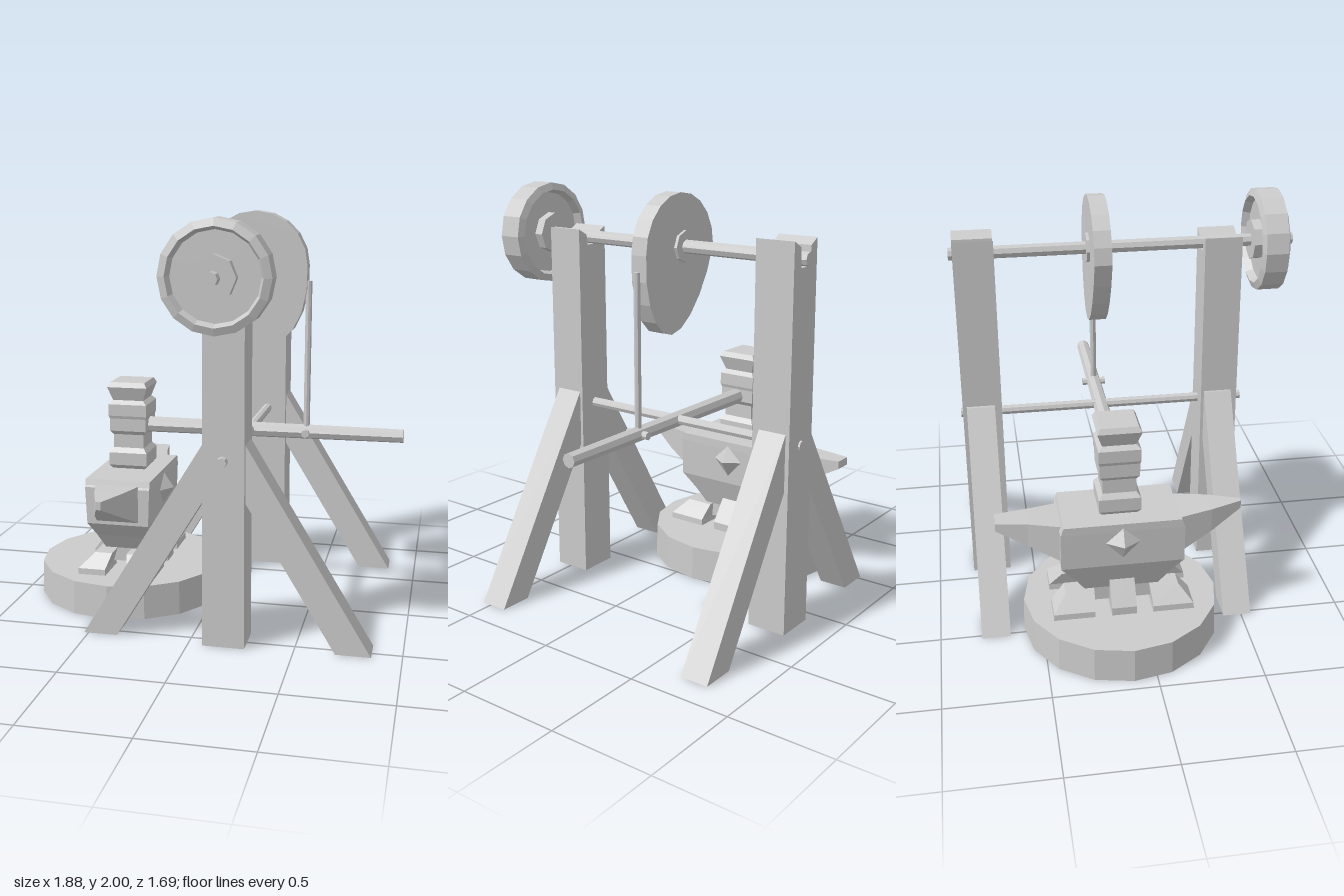
import * as THREE from 'three';

const material = new THREE.MeshStandardMaterial({ color: 0xcccccc, flatShading: true, side: THREE.DoubleSide });

// Rectangular loft along y; each section is [y, halfX, halfZ, offsetX, offsetZ].
function loft(sections) {
  const corners = [[1, 1], [1, -1], [-1, -1], [-1, 1]];
  const rings = sections.map(([y, hx, hz, ox = 0, oz = 0]) =>
    corners.map(([sx, sz]) => [ox + sx * hx, y, oz + sz * hz]));
  const pos = [];
  const quad = (a, b, c, d) => pos.push(...a, ...b, ...c, ...a, ...c, ...d);
  for (let i = 0; i + 1 < rings.length; i++) {
    for (let j = 0; j < 4; j++) {
      const k = (j + 1) % 4;
      quad(rings[i][j], rings[i][k], rings[i + 1][k], rings[i + 1][j]);
    }
  }
  const [b, t] = [rings[0], rings[rings.length - 1]];
  quad(b[3], b[2], b[1], b[0]);
  quad(t[0], t[1], t[2], t[3]);
  const geo = new THREE.BufferGeometry();
  geo.setAttribute('position', new THREE.Float32BufferAttribute(pos, 3));
  geo.computeVertexNormals();
  return geo;
}

// Outline in the xy plane, extruded from z0 to z1.
function plate(points, z0, z1) {
  const shape = new THREE.Shape(points.map(([x, y]) => new THREE.Vector2(x, y)));
  return new THREE.ExtrudeGeometry(shape, { depth: z1 - z0, bevelEnabled: false }).translate(0, 0, z0);
}

// Rod lying along z.
const rodZ = (r, z0, z1, sides) =>
  new THREE.CylinderGeometry(r, r, z1 - z0, sides).rotateX(Math.PI / 2).translate(0, 0, (z0 + z1) / 2);

export function createModel() {
  const model = new THREE.Group();
  const add = (name, geo, x = 0, y = 0, z = 0, parent = model) => {
    const mesh = new THREE.Mesh(geo, material);
    mesh.name = name;
    mesh.position.set(x, y, z);
    parent.add(mesh);
    return mesh;
  };
  const AX = 0.168, CX = -0.46, CZ = -0.115;

  // Two trestles: a notched post with a pair of splayed legs
  const trestles = [
    { name: 'frontTrestle', post: [0.395, 0.58], leg: [0.41, 0.55], top: 1.79 },
    { name: 'rearTrestle', post: [-0.82, -0.625], leg: [-0.8, -0.66], top: 1.83 },
  ];
  for (const { name, post, leg, top } of trestles) {
    const trestle = new THREE.Group();
    trestle.name = name;
    model.add(trestle);
    add('post', plate([[0.07, 0], [0.27, 0], [0.265, top], [0.21, top - 0.03], [0.205, 1.71],
      [0.13, 1.71], [0.125, top - 0.03], [0.075, top]], ...post), 0, 0, 0, trestle);
    for (const s of [-1, 1]) {
      add('leg', plate([[s * 0.05, 1.03], [s * 0.1, 0.97], [s * 0.69, 0],
        [s * 0.525, 0], [s * 0.05, 0.78]], ...leg), AX, 0, 0, trestle);
    }
  }

  // Drive shaft and lever pivot
  add('driveShaft', rodZ(0.032, -0.84, 0.85, 8), AX, 1.745);
  add('leverPivot', rodZ(0.024, -0.83, 0.62, 8), AX, 0.9);

  // Drive wheel: rimmed disc with a faceted hub
  const wheel = new THREE.Group();
  wheel.name = 'driveWheel';
  wheel.position.set(AX, 1.747, 0.715);
  model.add(wheel);
  const rim = [[0.2, -0.03], [0.215, -0.068], [0.25, -0.055], [0.25, 0.055], [0.215, 0.068], [0.2, 0.03]];
  add('rim', new THREE.LatheGeometry(rim.map(p => new THREE.Vector2(...p)), 16).rotateX(Math.PI / 2), 0, 0, 0, wheel);
  add('web', rodZ(0.21, -0.03, 0.03, 16), 0, 0, 0, wheel);
  add('hub', rodZ(0.1, -0.075, 0.075, 8), 0, 0, 0, wheel);

  // Egg-shaped cam, stretched towards the lower right
  const outline = [];
  for (let i = 0; i < 20; i++) {
    const a = i / 20 * Math.PI * 2;
    const lean = Math.max(0, -Math.sin(a));
    outline.push([0.19 + 0.26 * Math.cos(a) * (1 - 0.15 * lean) + 0.07 * lean,
      1.73 + (a > Math.PI ? 0.39 : 0.265) * Math.sin(a)]);
  }
  add('cam', plate(outline, -0.165, -0.08));
  for (const z of [-0.172, -0.073]) add('camCollar', rodZ(0.075, -0.008, 0.008, 8), AX, 1.745, z);

  // Connecting rod and hammer lever
  add('connectingRod', new THREE.CylinderGeometry(0.016, 0.016, 0.75, 8), 0.455, 1.28, CZ);
  add('lever', new THREE.CylinderGeometry(0.034, 0.042, 1.48, 8).rotateZ(-Math.PI / 2), 0.2, 0.895, CZ);
  add('leverPin', rodZ(0.02, -0.06, 0.06, 8), 0.455, 0.895, CZ);

  // Hammer head: square block with collars
  add('hammer', loft([[0.67, 0.085, 0.085], [0.69, 0.1, 0.1], [0.755, 0.1, 0.1], [0.78, 0.08, 0.08],
    [0.85, 0.08, 0.08], [0.87, 0.095, 0.095], [0.935, 0.095, 0.095], [0.95, 0.1, 0.1], [1.01, 0.1, 0.1],
    [1.03, 0.08, 0.08], [1.1, 0.104, 0.104], [1.125, 0.09, 0.09]]), CX, 0, CZ - 0.005);

  // Anvil
  const anvil = new THREE.Group();
  anvil.name = 'anvil';
  anvil.position.set(CX, 0, CZ);
  model.add(anvil);
  add('body', loft([[0.2, 0.1, 0.18], [0.27, 0.1, 0.18], [0.35, 0.13, 0.23], [0.43, 0.16, 0.295],
    [0.62, 0.168, 0.295], [0.63, 0.168, 0.29], [0.66, 0.168, 0.28]]), 0, 0, 0, anvil);
  // Horns at both ends
  const horn = (dir, length, tip) => loft([[0.27, 0.115, 0.1, 0, -dir * 0.535],
    [0.29 + length * 0.5, 0.07, 0.06, 0, -dir * 0.58], [0.29 + length, tip, 0.02, 0, -dir * 0.62]])
    .rotateX(dir * Math.PI / 2);
  add('frontHorn', horn(1, 0.31, 0.012), 0, 0, 0, anvil);
  add('rearHorn', horn(-1, 0.3, 0.045), 0, 0, 0, anvil);
  for (const s of [-1, 1]) {
    // Pointed bosses and middle feet on the long sides
    add('sideBoss', new THREE.ConeGeometry(0.09, 0.06, 4).rotateZ(-s * Math.PI / 2), s * 0.19, 0.56, 0, anvil);
    add('middleFoot', loft([[0.165, 0.07, 0.06], [0.21, 0.07, 0.06], [0.335, 0.03, 0.06, -s * 0.05]]),
      s * 0.13, 0, 0, anvil);
    // Splayed corner feet
    for (const t of [-1, 1]) {
      add('cornerFoot', loft([[0.165, 0.072, 0.1], [0.2, 0.07, 0.098],
        [0.27, 0.045, 0.07, -s * 0.045, -t * 0.035]]), s * 0.128, 0, t * 0.24, anvil);
    }
  }

  // Round base under the anvil
  add('base', new THREE.CylinderGeometry(0.475, 0.48, 0.17, 16), -0.465, 0.085, -0.11);

  return model;
}
